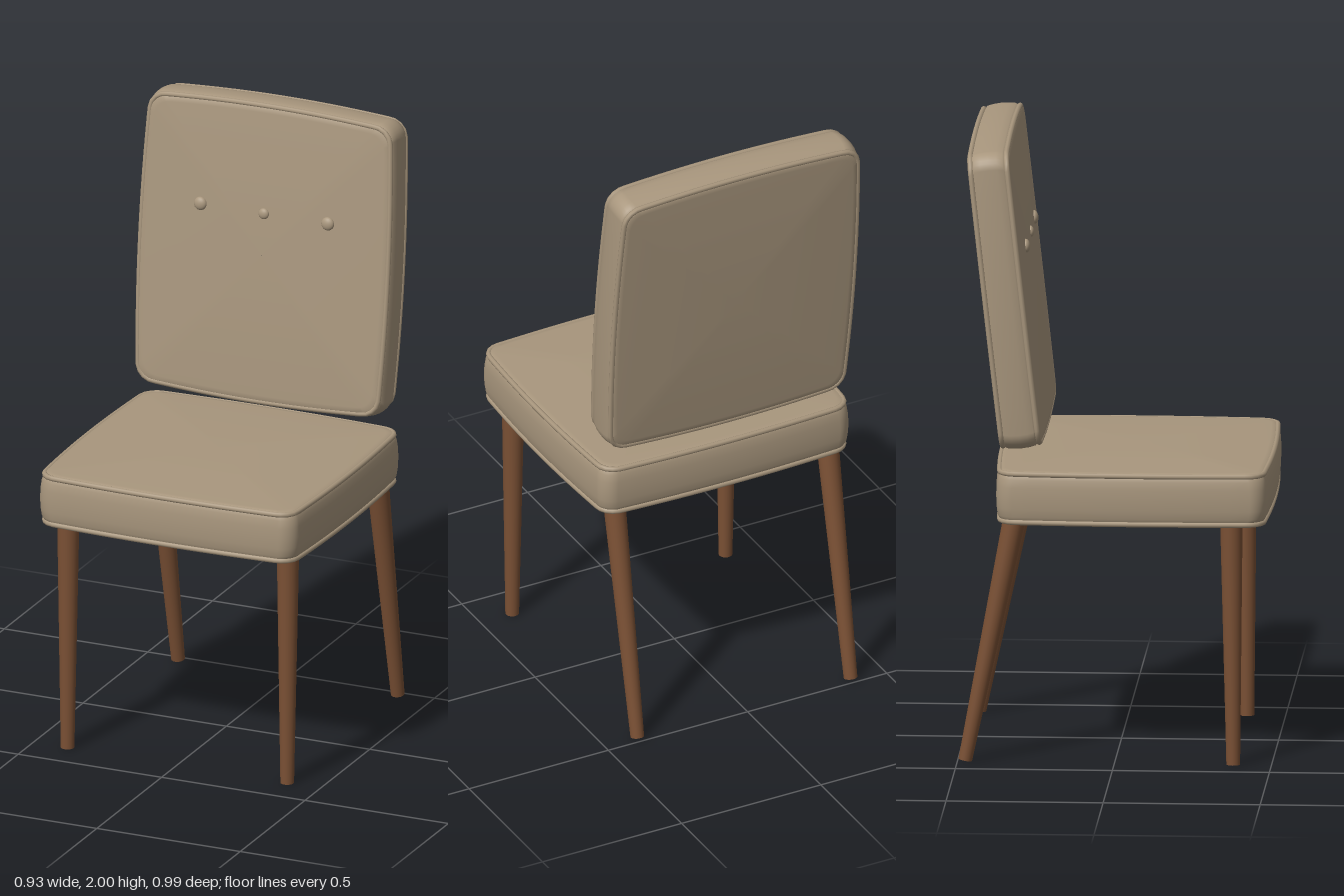
import * as THREE from 'three';

const fabric = new THREE.MeshStandardMaterial({ color: 0xa8967d });
fabric.name = 'beigeFabric';
const wood = new THREE.MeshStandardMaterial({ color: 0x7a5034 });
wood.name = 'brownWood';

function addMesh(parent, name, geometry, material) {
  const mesh = new THREE.Mesh(geometry, material);
  mesh.name = name;
  parent.add(mesh);
  return mesh;
}

// Rounded rectangle in x/z whose sides bow gently outward
function outline(hw, hd, r, bow) {
  const arcs = [[1, 1], [-1, 1], [-1, -1], [1, -1]].map(([sx, sz], q) =>
    Array.from({ length: 8 }, (_, i) => {
      const a = (q + i / 7) * Math.PI / 2;
      return new THREE.Vector2(sx * (hw - r) + r * Math.cos(a), sz * (hd - r) + r * Math.sin(a));
    }));
  const points = [];
  arcs.forEach((arc, q) => {
    points.push(...arc);
    const next = arcs[(q + 1) % 4][0];
    for (let i = 1; i < 12; i++) points.push(arc[7].clone().lerp(next, i / 12));
  });
  return points.map((p) => new THREE.Vector2(
    p.x * (1 - bow * (p.y / hd) ** 2),
    p.y * (1 - bow * (p.x / hw) ** 2)));
}

// Domed cushion lofted through scaled outlines, from bottom centre to top centre
function cushionGeometry(points, h, dome) {
  const upper = [[1, 0], [0.997, h * 0.4], [0.99, h * 0.7], [0.98, h - 0.016], [0.972, h - 0.006], [0.96, h]];
  for (const s of [0.93, 0.88, 0.8, 0.65, 0.5, 0.35, 0.2, 0.1, 0.001]) {
    upper.push([s, h + dome * (1 - (s / 0.96) ** 2)]);
  }
  const rings = [...upper.slice(1).reverse().map(([s, y]) => [s, -y]), ...upper];
  const n = points.length;
  const positions = [];
  const index = [];
  rings.forEach(([s, y], i) => {
    points.forEach((p, j) => {
      positions.push(p.x * s, y, p.y * s);
      if (i === rings.length - 1) return;
      const a = i * n + j;
      const b = i * n + (j + 1) % n;
      index.push(a, a + n, b, b, a + n, b + n);
    });
  });
  const geometry = new THREE.BufferGeometry();
  geometry.setAttribute('position', new THREE.Float32BufferAttribute(positions, 3));
  geometry.setIndex(index);
  geometry.computeVertexNormals();
  return geometry;
}

// Cushion with piping around both faces
function cushion(name, hw, hd, h, dome) {
  const group = new THREE.Group();
  group.name = name;
  const points = outline(hw, hd, 0.05, 0.035);
  addMesh(group, name + 'Pad', cushionGeometry(points, h, dome), fabric);
  for (const side of [-1, 1]) {
    const path = new THREE.CatmullRomCurve3(
      points.map((p) => new THREE.Vector3(p.x * 0.974, side * (h - 0.008), p.y * 0.974)), true);
    addMesh(group, name + 'Piping', new THREE.TubeGeometry(path, 160, 0.009, 8, true), fabric);
  }
  return group;
}

// Tapered round leg between two points
function addLeg(parent, name, top, bottom) {
  const axis = top.clone().sub(bottom);
  const leg = addMesh(parent, name, new THREE.CylinderGeometry(0.036, 0.022, axis.length(), 24), wood);
  leg.position.copy(top).add(bottom).multiplyScalar(0.5);
  leg.quaternion.setFromUnitVectors(new THREE.Vector3(0, 1, 0), axis.normalize());
}

export function createModel() {
  const chair = new THREE.Group();
  chair.name = 'chair';

  // Seat
  const seat = cushion('seat', 0.463, 0.443, 0.086, 0.012);
  seat.position.set(0, 0.867, 0.055);
  chair.add(seat);

  // Leaning backrest, its front face along local +y
  const back = cushion('backrest', 0.442, 0.498, 0.066, 0.012);
  back.position.set(0, 1.498, -0.35);
  back.rotation.x = Math.PI / 2 - 0.112;
  chair.add(back);

  // Row of buttons
  for (const [x, r] of [[-0.222, 0.022], [0, 0.018], [0.222, 0.022]]) {
    const button = addMesh(back, 'button', new THREE.SphereGeometry(r, 20, 14), fabric);
    button.position.set(x, x ? 0.075 : 0.077, -0.137);
    button.scale.y = 0.6;
  }

  // Upright front legs and raked back legs
  for (const [side, label] of [[1, 'left'], [-1, 'right']]) {
    const x = side * 0.383;
    addLeg(chair, label + 'FrontLeg', new THREE.Vector3(x, 0.8, 0.372), new THREE.Vector3(x, 0, 0.378));
    addLeg(chair, label + 'BackLeg', new THREE.Vector3(x, 0.8, -0.317), new THREE.Vector3(x, 0.005, -0.475));
  }
  return chair;
}
